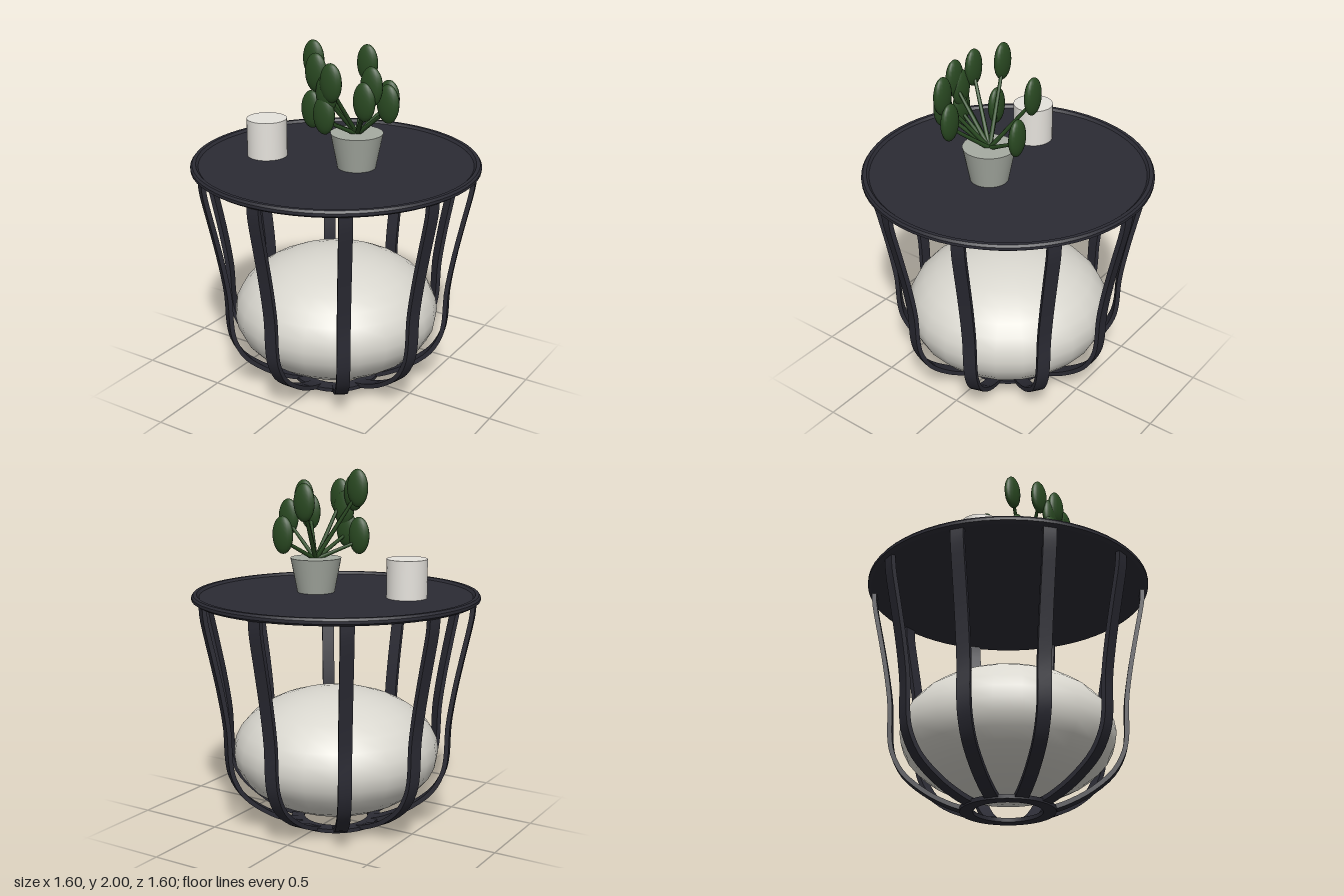
import * as THREE from 'three';
import { toCreasedNormals } from 'three/addons/utils/BufferGeometryUtils.js';

const mat = (name, color) => Object.assign(new THREE.MeshStandardMaterial({ color }), { name });

export function createModel() {
  const model = new THREE.Group();
  model.name = 'sideTable';
  const metal = mat('dark metal', 0x2b2b34);
  const fabric = mat('cream fabric', 0xd9d7cf);
  const wax = mat('white wax', 0xe6e3dd);
  const ceramic = mat('grey ceramic', 0xa6aba2);
  const green = mat('leaf green', 0x2a4a22);

  const add = (parent, name, geometry, material, x = 0, y = 0, z = 0) => {
    const mesh = new THREE.Mesh(geometry, material);
    mesh.name = name;
    mesh.position.set(x, y, z);
    parent.add(mesh);
    return mesh;
  };
  const lathe = (points, segments) => toCreasedNormals(
    new THREE.LatheGeometry(points.map(([r, y]) => new THREE.Vector2(r, y)), segments), 0.5);

  // Round tray top with a raised, bevelled rim
  add(model, 'tableTop', lathe([
    [0, 1.285], [0.78, 1.285], [0.799, 1.298], [0.799, 1.314], [0.79, 1.326],
    [0.77, 1.326], [0.757, 1.312], [0, 1.312],
  ], 64), metal);

  // Flat ring under the basket
  add(model, 'baseRing', lathe([
    [0.185, 0], [0.255, 0], [0.255, 0.022], [0.185, 0.022], [0.185, 0],
  ], 40), metal);

  // Ten flat bent legs: one profile, offset to a thickness and extruded to a width
  const path = new THREE.SplineCurve([
    [0.765, 1.29], [0.757, 1.2], [0.715, 1.0], [0.675, 0.8], [0.645, 0.6], [0.638, 0.42],
    [0.615, 0.31], [0.55, 0.2], [0.425, 0.1], [0.3, 0.037], [0.22, 0.013],
  ].map(([r, y]) => new THREE.Vector2(r, y)));
  const steps = 32, half = 0.0125, width = 0.072;
  const outer = [], inner = [];
  for (let i = 0; i <= steps; i++) {
    const p = path.getPoint(i / steps);
    const t = path.getTangent(i / steps);
    const side = new THREE.Vector2(-t.y, t.x).multiplyScalar(half);
    outer.push(p.clone().add(side));
    inner.unshift(p.clone().sub(side));
  }
  const legGeometry = toCreasedNormals(
    new THREE.ExtrudeGeometry(new THREE.Shape([...outer, ...inner]),
      { depth: width, bevelEnabled: false }).translate(0, 0, -width / 2), 0.6);
  const legs = new THREE.Group();
  legs.name = 'legs';
  model.add(legs);
  for (let i = 0; i < 10; i++) {
    add(legs, 'leg', legGeometry, metal).rotation.y = -Math.PI / 2 + (i * Math.PI) / 5;
  }

  // Large cushion held inside the basket
  add(model, 'cushion', new THREE.SphereGeometry(0.585, 24, 16), fabric, 0, 0.418, 0)
    .scale.y = 0.352 / 0.585;

  // Candle
  add(model, 'candle', new THREE.CylinderGeometry(0.112, 0.112, 0.215, 32), wax, -0.386, 1.418, 0.11);

  // Potted plant
  const plant = new THREE.Group();
  plant.name = 'pottedPlant';
  model.add(plant);
  add(plant, 'pot', new THREE.CylinderGeometry(0.143, 0.105, 0.195, 32), ceramic, 0.144, 1.4075, 0.018);

  // Each leaf is a flattened ellipsoid on a straight tapered stem
  const leafGeometry = new THREE.SphereGeometry(1, 16, 12).scale(0.065, 0.104, 0.032);
  const root = new THREE.Vector3(0.144, 1.495, 0.015);
  const leaves = [
    [-0.08, 1.895, 0.095], [0.07, 1.83, -0.21], [0.208, 1.65, -0.213], [0.015, 1.86, 0.217],
    [0.13, 1.828, 0.255], [0.325, 1.82, 0.175], [0.297, 1.74, 0.2], [0.375, 1.715, 0.09],
    [-0.07, 1.63, 0.13], [0.085, 1.65, 0.25], [0.095, 1.765, 0.24],
  ];
  for (const [x, y, z] of leaves) {
    add(plant, 'leaf', leafGeometry, green, x, y, z);
    const dir = new THREE.Vector3(x, y - 0.03, z).sub(root);
    const mid = root.clone().addScaledVector(dir, 0.5);
    add(plant, 'stem', new THREE.CylinderGeometry(0.009, 0.013, dir.length(), 8), green, mid.x, mid.y, mid.z)
      .quaternion.setFromUnitVectors(new THREE.Vector3(0, 1, 0), dir.normalize());
  }
  return model;
}
